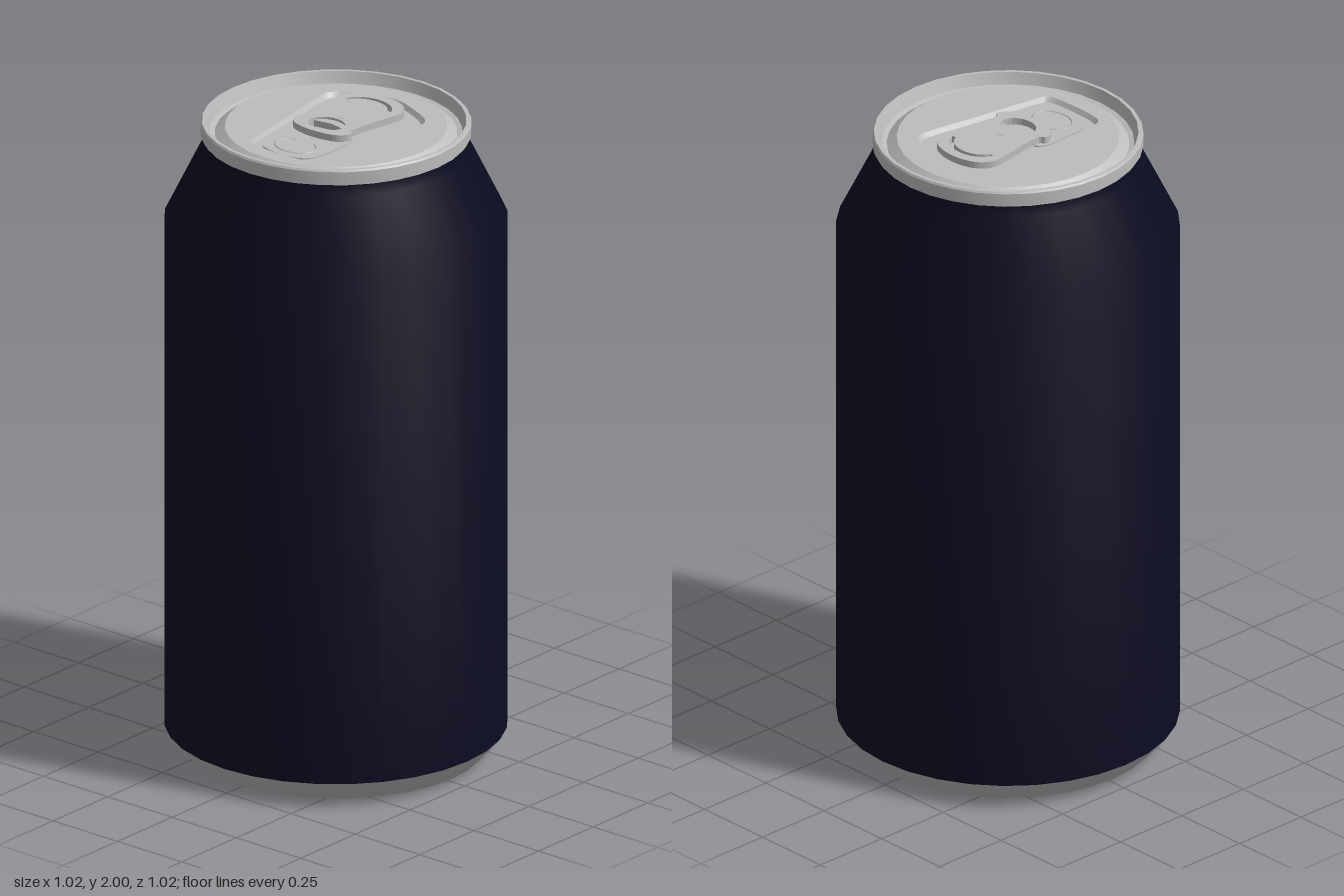
import * as THREE from 'three';
import { toCreasedNormals } from 'three/addons/utils/BufferGeometryUtils.js';

const SIDES = 32;
const V = (x, y) => new THREE.Vector2(x, y);

export function createModel() {
  const can = new THREE.Group();
  can.name = 'drinkCan';
  const navy = new THREE.MeshStandardMaterial({ color: 0x0c0c22 });
  navy.name = 'navy paint';
  const silver = new THREE.MeshStandardMaterial({ color: 0xbcbcbc });
  silver.name = 'bare aluminium';

  const add = (name, geometry, material = silver) => {
    const mesh = new THREE.Mesh(geometry, material);
    mesh.name = name;
    can.add(mesh);
    return mesh;
  };
  const lathe = (name, profile, material) => add(name,
    toCreasedNormals(new THREE.LatheGeometry(profile.map(p => V(...p)), SIDES), 0.5), material);
  // Shapes are drawn with x right and -z up, then laid flat
  const plate = (name, shape, y, depth) => add(name,
    new THREE.ExtrudeGeometry(shape, { depth, bevelEnabled: false, curveSegments: 10 })
      .rotateX(-Math.PI / 2).translate(0, y, 0));
  // Closed smooth outline from its right half, given as [x, z]
  const outline = (half, steps = 64) => {
    const left = half.filter(p => p[0] > 0).reverse().map(([x, z]) => [-x, z]);
    const pts = [...half, ...left].map(([x, z]) => new THREE.Vector3(x, -z, 0));
    return new THREE.CatmullRomCurve3(pts, true, 'centripetal').getPoints(steps)
      .slice(0, -1).map(p => V(p.x, p.y));
  };
  const ellipse = (z, rx, rz, a = 0, b = Math.PI * 2) =>
    new THREE.EllipseCurve(0, -z, rx, rz, a, b).getPoints(24);

  // Painted wall with sloping shoulder
  lathe('body', [[0.51, 0.08], [0.51, 1.69], [0.4, 1.915], [0.396, 1.948]], navy);

  // Tapered foot and domed underside
  lathe('base', [[0, 0.1], [0.15, 0.09], [0.28, 0.065], [0.39, 0.025], [0.405, 0.003],
    [0.425, 0], [0.45, 0.01], [0.51, 0.08]]);

  // Seam rim, countersink and rising edge of the lid
  lathe('rim', [[0.392, 1.946], [0.392, 1.955], [0.402, 1.957], [0.402, 1.992],
    [0.398, 1.998], [0.387, 1.998], [0.375, 1.962], [0.36, 1.958], [0.33, 1.98]]);

  // Lid panel with a keyhole-shaped recess
  const keyhole = [[0, -0.27], [0.035, -0.266], [0.1, -0.242], [0.165, -0.21], [0.186, -0.185],
    [0.187, -0.15], [0.16, 0], [0.121, 0.235], [0.112, 0.262], [0.09, 0.273], [0, 0.279]];
  const upper = outline(keyhole);
  const lower = outline(keyhole.map(([x, z]) => [x * 0.94, z * 0.965]));
  const disc = [];
  for (let i = 0; i < SIDES; i++) {
    const a = i / SIDES * Math.PI * 2;
    disc.push(V(0.33 * Math.cos(a), 0.33 * Math.sin(a)));
  }
  const panel = new THREE.Shape(disc);
  panel.holes.push(new THREE.Path(upper));
  add('lidPanel', new THREE.ShapeGeometry(panel).rotateX(-Math.PI / 2).translate(0, 1.98, 0));
  add('recessFloor', new THREE.ShapeGeometry(new THREE.Shape(lower))
    .rotateX(-Math.PI / 2).translate(0, 1.966, 0));

  // Sloped wall joining panel and recess floor
  const wall = [];
  const quad = (a, b, c, d) => wall.push(...a, ...b, ...c, ...a, ...c, ...d);
  const at = (p, y) => [p.x, y, -p.y];
  const clockwise = THREE.ShapeUtils.isClockWise(upper);
  upper.forEach((p, i) => {
    const j = (i + 1) % upper.length;
    const [s, e] = clockwise ? [j, i] : [i, j];
    quad(at(upper[s], 1.98), at(upper[e], 1.98), at(lower[e], 1.966), at(lower[s], 1.966));
  });
  const wallGeometry = new THREE.BufferGeometry();
  wallGeometry.setAttribute('position', new THREE.Float32BufferAttribute(wall, 3));
  // Keep the inner slope facing up
  wallGeometry.computeVertexNormals();
  if (wallGeometry.attributes.normal.getY(0) < 0) {
    for (let i = 0; i < wall.length; i += 9) {
      for (let k = 0; k < 3; k++) [wall[i + 3 + k], wall[i + 6 + k]] = [wall[i + 6 + k], wall[i + 3 + k]];
    }
    wallGeometry.setAttribute('position', new THREE.Float32BufferAttribute(wall, 3));
  }
  add('recessWall', toCreasedNormals(wallGeometry, 0.6));

  // Pour opening panel and its raised bead
  const mouth = outline([[0, 0.03], [0.09, 0.035], [0.106, 0.07], [0.104, 0.16], [0.098, 0.215],
    [0.075, 0.245], [0, 0.26]]);
  plate('pourPanel', new THREE.Shape(mouth), 1.964, 0.006);
  const beadPoints = [];
  for (let i = 0; i <= 20; i++) {
    const a = (-0.32 + i / 20 * 1.64) * Math.PI;
    beadPoints.push(new THREE.Vector3(0.068 * Math.cos(a), 1.969, 0.182 + 0.05 * Math.sin(a)));
  }
  add('pourBead', new THREE.TubeGeometry(new THREE.CatmullRomCurve3(beadPoints), 40, 0.004, 6));

  // Pull tab with a curved finger slot and an oval window
  const tab = new THREE.Shape(outline([[0, -0.23], [0.04, -0.226], [0.085, -0.208], [0.112, -0.175],
    [0.116, -0.15], [0.092, 0.04], [0.106, 0.052], [0.105, 0.07], [0.085, 0.093], [0.045, 0.106], [0, 0.11]]));
  const slot = new THREE.Path([
    ...new THREE.EllipseCurve(0, 0.13, 0.09, 0.07, 0.2, Math.PI - 0.2).getPoints(16),
    ...new THREE.EllipseCurve(0, 0.13, 0.076, 0.056, 0.2, Math.PI - 0.2).getPoints(16).reverse()]);
  tab.holes.push(slot, new THREE.Path(ellipse(0.042, 0.06, 0.047).slice(0, -1)));
  plate('pullTab', tab, 1.978, 0.021);

  // Tongue inside the oval window, and the rivet
  const tongue = new THREE.Shape([...ellipse(0.042, 0.06, 0.047, 0.2, Math.PI - 0.2), V(0, -0.022)]);
  plate('tabTongue', tongue, 1.972, 0.02);
  add('rivet', new THREE.CylinderGeometry(0.012, 0.014, 0.034, 16)).position.set(0, 1.983, -0.026);

  return can;
}
